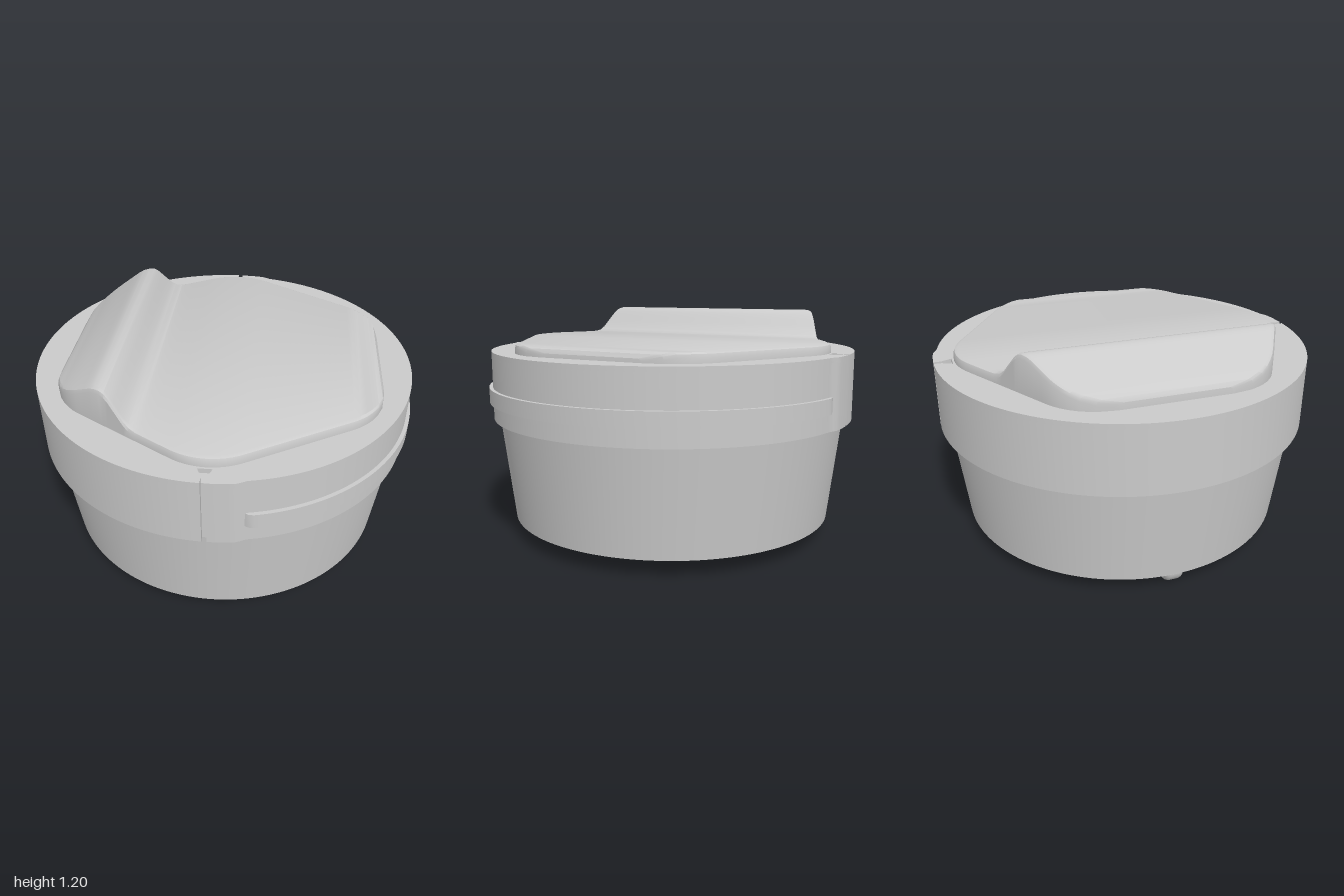
import * as THREE from 'three';
import { toCreasedNormals } from 'three/addons/utils/BufferGeometryUtils.js';

const grey = new THREE.MeshStandardMaterial({ color: 0xcccccc });

function part(name, geometry, crease = 0.5) {
  const mesh = new THREE.Mesh(toCreasedNormals(geometry, crease), grey);
  mesh.name = name;
  return mesh;
}

// Plan outline (x, -z) extruded upward from y0 to y1
function slab(shape, y0, y1) {
  const g = new THREE.ExtrudeGeometry(shape, { depth: y1 - y0, bevelEnabled: false, curveSegments: 96 });
  return g.rotateX(-Math.PI / 2).translate(0, y0, 0);
}

function arc(from, to, radius, n = 72) {
  return Array.from({ length: n + 1 }, (_, i) => {
    const a = from + (to - from) * i / n, r = radius(a);
    return new THREE.Vector2(r * Math.cos(a), r * Math.sin(a));
  });
}

// Lid plan: slightly recessed on the +x side, slit at front and back
function lidShape(notch) {
  const q = Math.PI / 2, d = 0.012;
  const flip = notch.map(([x, y]) => new THREE.Vector2(-x, -y));
  const slit = notch.map(([x, y]) => new THREE.Vector2(x, y));
  const r = a => 0.993 - 0.015 * THREE.MathUtils.smoothstep(Math.cos(a), 0.14, 0.2);
  return new THREE.Shape([
    ...arc(-q + d, q - d, r, 120), ...slit,
    ...arc(q + d, 3 * q - d, () => 0.993, 96), ...flip,
  ]);
}

// Half width in z of a hexagon with rounded corners, at position x
function hexHalfWidth(x) {
  const A = 0.815, r = 0.33, R = 2 * A / Math.sqrt(3), inner = (A - r) * 2 / Math.sqrt(3);
  const ax = Math.min(Math.abs(x), A);
  const cx = A - r;
  if (ax < r / 2) return inner + Math.sqrt(r * r - ax * ax);
  if (ax > cx + r / 2) return inner / 2 + Math.sqrt(Math.max(0, r * r - (ax - cx) ** 2));
  return R - ax / Math.sqrt(3);
}

// Rounded hexagonal cover whose height profile rises into a ridge
function coverGeometry() {
  const key = [[-0.815, 0.99], [-0.815, 1.035], [-0.8, 1.055], [-0.57, 1.187], [-0.545, 1.197], [-0.515, 1.2],
    [-0.49, 1.193], [-0.47, 1.175], [-0.4, 1.085], [-0.375, 1.063], [-0.34, 1.052], [-0.3, 1.05],
    [0.775, 1.05], [0.8, 1.04], [0.815, 1.02], [0.815, 0.99]];
  const cols = [];
  key.forEach(([x, y], i) => {
    cols.push([x, y]);
    if (i + 1 === key.length) return;
    const [x2, y2] = key[i + 1], n = Math.max(1, Math.ceil((x2 - x) / 0.03));
    for (let k = 1; k < n; k++) cols.push([x + (x2 - x) * k / n, y + (y2 - y) * k / n]);
  });
  const pos = [], idx = [], S = 8;
  for (const [x, h] of cols) {
    const w = hexHalfWidth(x), f = Math.min(0.025, h - 0.99);
    const side = [[w, 0.99], [w, h - f], [w - f * 0.3, h - f * 0.3], [w - f, h]];
    for (const [z, y] of side) pos.push(x, y, z);
    for (const [z, y] of side.reverse()) pos.push(x, y, -z);
  }
  for (let i = 0; i + 1 < cols.length; i++) {
    for (let j = 0; j + 1 < S; j++) {
      const a = i * S + j, b = a + S;
      idx.push(a, b, b + 1, a, b + 1, a + 1);
    }
  }
  const g = new THREE.BufferGeometry();
  g.setAttribute('position', new THREE.Float32BufferAttribute(pos, 3));
  g.setIndex(idx);
  return g;
}

export function createModel() {
  const model = new THREE.Group();
  model.name = 'lowRoundContainer';

  // Tapered bowl
  const wall = new THREE.CylinderGeometry(0.945, 0.88, 0.55, 128, 1, true).translate(0, 0.365, 0);
  model.add(part('bowlWall', wall));

  // Flat base with two rectangular pockets
  const base = new THREE.Shape().absarc(0, 0, 0.88, 0, Math.PI * 2);
  for (const s of [-1, 1]) {
    base.holes.push(new THREE.Path([[-0.2, 0.58], [0.2, 0.58], [0.2, 0.75], [-0.2, 0.75]]
      .map(([x, y]) => new THREE.Vector2(x, s * y))));
  }
  model.add(part('base', slab(base, 0.09, 0.19)));
  const pocketFloor = new THREE.CircleGeometry(0.875, 64).rotateX(Math.PI / 2).translate(0, 0.19, 0);
  model.add(part('pocketFloor', pocketFloor));

  // Rounded disc feet
  for (const x of [-0.775, 0.645]) {
    const disc = new THREE.Shape().absarc(0, 0, 0.065, 0, Math.PI * 2);
    const g = new THREE.ExtrudeGeometry(disc, {
      depth: 0.04, bevelSize: 0.03, bevelThickness: 0.03, bevelSegments: 5, curveSegments: 24,
    }).translate(x, 0.095, -0.02);
    model.add(part('foot', g, 0.7));
  }

  // Lid, with the slits widening in its top layer
  const d = 0.012;
  model.add(part('lidBand', slab(lidShape([[d, 0.965], [-d, 0.965]]), 0.64, 0.975)));
  model.add(part('lidTop', slab(lidShape([[d, 0.955], [0.035, 0.9], [-0.035, 0.9], [-d, 0.955]]), 0.975, 1)));

  // Grip rail around the +x side, tapering at its ends
  const e = Math.PI / 2 - 0.18;
  const railR = a => 0.976 + 0.021 * Math.min(1, (e - Math.abs(a)) / 0.03);
  const rail = new THREE.Shape([...arc(-e, e, railR, 120), ...arc(e, -e, () => 0.95, 60)]);
  model.add(part('gripRail', slab(rail, 0.73, 0.81)));

  // Hexagonal cover with ridge
  model.add(part('ridgedCover', coverGeometry()));
  return model;
}
